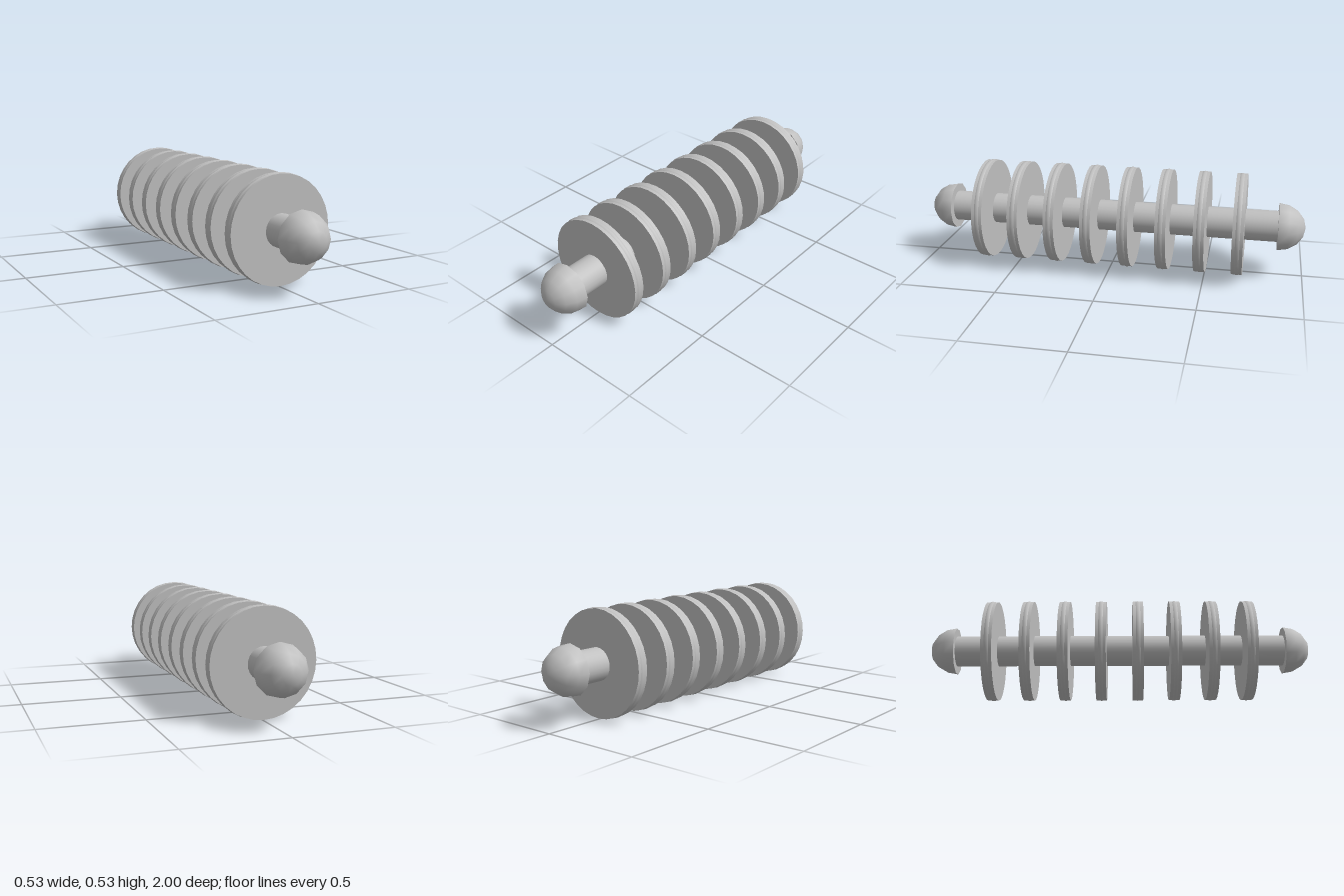
import * as THREE from 'three';

export function createModel() {
  const group = new THREE.Group();
  const grey = new THREE.MeshStandardMaterial({ color: 0xc0c0c0 });
  grey.name = 'light grey';
  const R = 0.265; // overall radius, also the height of the axis

  const add = (name, geometry, z) => {
    const mesh = new THREE.Mesh(geometry, grey);
    mesh.name = name;
    mesh.position.set(0, R, z);
    group.add(mesh);
    return mesh;
  };

  // Central rod along z
  add('rod', new THREE.CylinderGeometry(0.08, 0.08, 1.74, 24).rotateX(Math.PI / 2), 0);

  // Eight ribs: a flat disc with a slightly proud rounded rim
  const disc = new THREE.CylinderGeometry(0.262, 0.262, 0.055, 32).rotateX(Math.PI / 2);
  const rim = new THREE.TorusGeometry(0.238, 0.027, 12, 32);
  for (let i = 0; i < 8; i++) {
    const z = (i - 3.5) * 0.191;
    add('ribDisc', disc, z);
    add('ribRim', rim, z);
  }

  // Domed end caps with flat undersides
  const dome = new THREE.SphereGeometry(0.123, 12, 4, 0, Math.PI * 2, 0, Math.PI / 2)
    .scale(1, 0.138 / 0.123, 1).rotateX(Math.PI / 2);
  const underside = new THREE.CircleGeometry(0.123, 12).rotateY(Math.PI);
  for (const [side, turn] of [['front', 0], ['back', Math.PI]]) {
    const z = turn ? -0.862 : 0.862;
    add(side + 'CapDome', dome, z).rotation.y = turn;
    add(side + 'CapUnderside', underside, z).rotation.y = turn;
  }
  return group;
}
